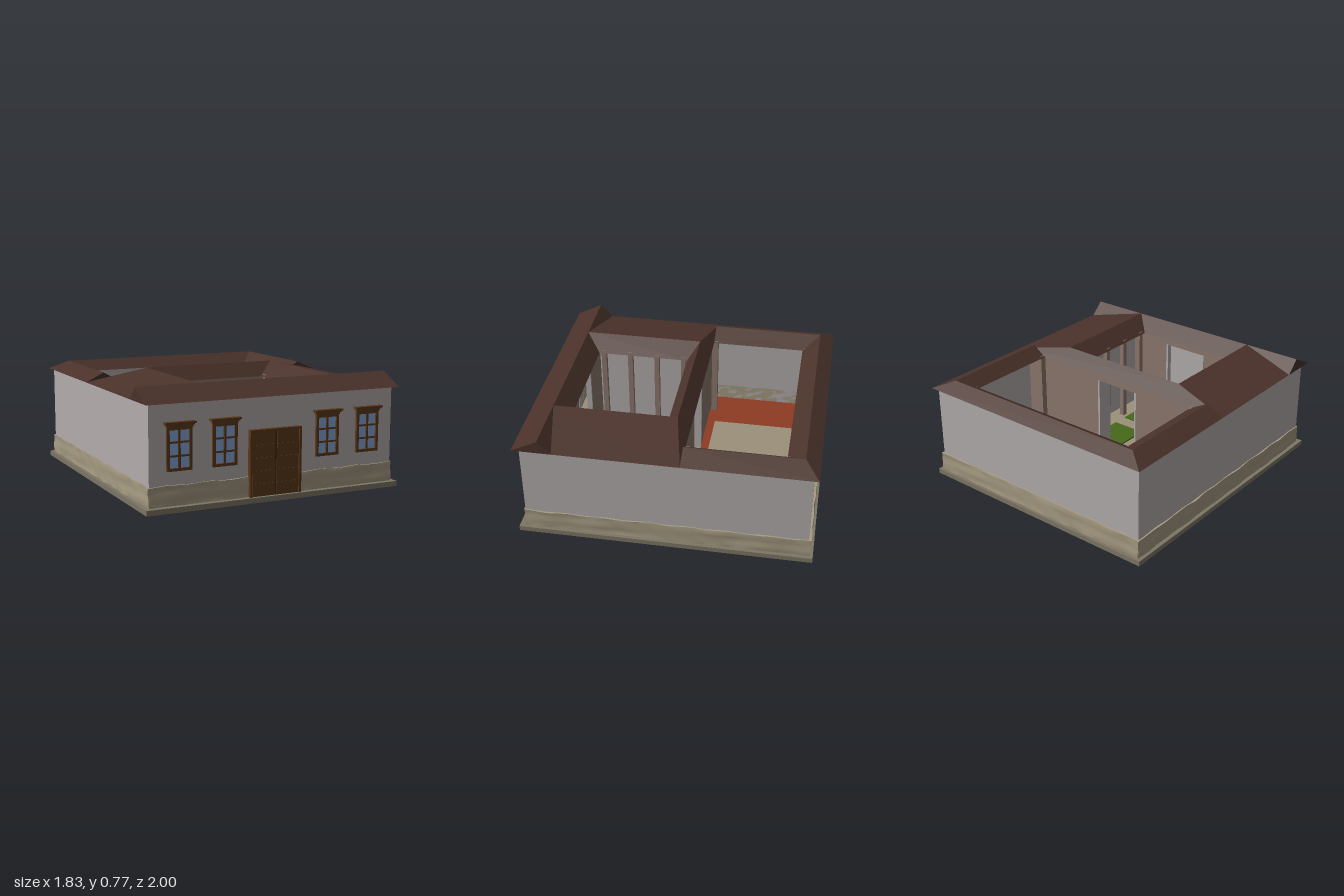
import * as THREE from 'three';

const mat = (color, extra = {}) => new THREE.MeshStandardMaterial({ color, ...extra });
const M = {
  wall: mat(0xb3acac), brownWall: mat(0x8c776c), stone: mat(0xa59a82), slab: mat(0x7d7666),
  roof: mat(0x4a322a, { flatShading: true, side: THREE.DoubleSide }),
  wood: mat(0x5a3818), darkWood: mat(0x442a12), glass: mat(0x86a6d8), paving: mat(0x9c9079),
  tile: mat(0x8e3c24), grass: mat(0x46691a), fountain: mat(0x62666c, { side: THREE.DoubleSide }),
  water: mat(0x3f4a55),
};

// Box given by its low and high limits on each axis
function box(parent, name, material, [x0, x1], [y0, y1], [z0, z1]) {
  const mesh = new THREE.Mesh(new THREE.BoxGeometry(x1 - x0, y1 - y0, z1 - z0), material);
  mesh.position.set((x0 + x1) / 2, (y0 + y1) / 2, (z0 + z1) / 2);
  mesh.name = name;
  parent.add(mesh);
  return mesh;
}

// Flat polygons, each a list of corners, fanned into triangles
function polygons(name, material, faces) {
  const pos = [];
  for (const f of faces)
    for (let i = 1; i < f.length - 1; i++) pos.push(...f[0], ...f[i], ...f[i + 1]);
  const g = new THREE.BufferGeometry();
  g.setAttribute('position', new THREE.Float32BufferAttribute(pos, 3));
  g.computeVertexNormals();
  const mesh = new THREE.Mesh(g, material);
  mesh.name = name;
  return mesh;
}

// Rough stone strip: a box whose outer face and top edge undulate
function stoneStrip(length, seed) {
  const g = new THREE.BoxGeometry(length, 0.13, 0.04, 48, 6, 1);
  const p = g.attributes.position;
  for (let i = 0; i < p.count; i++) {
    const x = p.getX(i), y = p.getY(i);
    const w = Math.sin(x * 17 + seed + 2 * Math.sin(y * 30 + x * 5)) * Math.cos(y * 38 + x * 9 + seed);
    if (p.getZ(i) > 0) p.setZ(i, p.getZ(i) + w * 0.005);
    if (y > 0.06) p.setY(i, y + 0.003 * Math.sin(x * 23 + seed));
  }
  g.computeVertexNormals();
  return new THREE.Mesh(g, M.stone);
}

function plinth() {
  const g = new THREE.Group();
  g.name = 'stonePlinth';
  const sides = [[1.77, 0, 0.945, 0], [1.77, 0, -0.96, Math.PI],
    [1.94, 0.87, -0.01, Math.PI / 2], [1.94, -0.87, -0.01, -Math.PI / 2]];
  sides.forEach(([len, x, z, turn], i) => {
    const s = stoneStrip(len, i * 2.3);
    s.name = 'plinthSide';
    s.position.set(x, 0.1, z);
    s.rotation.y = turn;
    g.add(s);
  });
  return g;
}

// Window of two by three panes under a stepped cornice
function windowUnit(x) {
  const g = new THREE.Group();
  g.name = 'window';
  g.position.set(x, 0, 0.955);
  box(g, 'glass', M.glass, [-0.075, 0.075], [0.265, 0.52], [-0.005, 0.006]);
  for (const s of [-1, 1]) box(g, 'frameSide', M.wood, [s * 0.076 - 0.009, s * 0.076 + 0.009], [0.255, 0.525], [0, 0.018]);
  for (const y of [0.264, 0.52]) box(g, 'frameRail', M.wood, [-0.085, 0.085], [y - 0.009, y + 0.009], [0, 0.018]);
  box(g, 'mullion', M.wood, [-0.007, 0.007], [0.26, 0.52], [0, 0.014]);
  for (const y of [0.348, 0.434]) box(g, 'glazingBar', M.wood, [-0.075, 0.075], [y - 0.006, y + 0.006], [0, 0.012]);
  [[0.088, 0.525, 0.54, 0.022], [0.096, 0.54, 0.55, 0.03], [0.104, 0.55, 0.562, 0.038]].forEach(([w, a, b, d]) =>
    box(g, 'cornice', M.wood, [-w, w], [a, b], [0, d]));
  return g;
}

// Double entrance door with boarded leaves
function entrance() {
  const g = new THREE.Group();
  g.name = 'entranceDoor';
  g.position.set(-0.015, 0, 0.95);
  box(g, 'doorBack', M.darkWood, [-0.18, 0.18], [0.035, 0.46], [0, 0.028]);
  for (const s of [-1, 1]) {
    box(g, 'doorPost', M.wood, [s * 0.178 - 0.008, s * 0.178 + 0.008], [0.035, 0.47], [0, 0.038]);
    for (let i = 0; i < 5; i++)
      box(g, 'board', M.wood, [s * 0.087 - 0.079, s * 0.087 + 0.079], [0.037 + i * 0.084, 0.119 + i * 0.084], [0, 0.033]);
  }
  box(g, 'doorHead', M.wood, [-0.186, 0.186], [0.456, 0.47], [0, 0.038]);
  return g;
}

// Cross wall with a central passage opening
function crossWall(name, z) {
  const g = new THREE.Group();
  g.name = name;
  box(g, 'wallLeft', M.brownWall, [0.17, 0.86], [0.035, 0.67], z);
  box(g, 'wallRight', M.brownWall, [-0.86, -0.17], [0.035, 0.67], z);
  box(g, 'lintel', M.brownWall, [-0.17, 0.17], [0.62, 0.67], z);
  for (const s of [-1, 1])
    box(g, 'jamb', M.wall, [s * 0.165 - 0.008, s * 0.165 + 0.008], [0.035, 0.62], [z[0] - 0.004, z[1] + 0.004]);
  return g;
}

// Roof round the front court: gabled front wing, side wings and middle wing
function frontRoof() {
  const E = 0.68, H = 0.77, I = 0.67;
  const f = [
    [[-0.91, E, 1], [0.91, E, 1], [0.91, H, 0.82], [-0.91, H, 0.82]],
    [[-0.49, H, 0.82], [0.49, H, 0.82], [0.37, I, 0.71], [-0.37, I, 0.71]],
    [[-0.37, I, 0.05], [0.37, I, 0.05], [0.49, H, -0.03], [-0.49, H, -0.03]],
    [[0.91, E, -0.115], [-0.91, E, -0.115], [-0.49, H, -0.03], [0.49, H, -0.03]],
  ];
  for (const s of [-1, 1]) f.push(
    [[s * 0.91, H, 0.82], [s * 0.49, H, 0.82], [s * 0.91, E, 0.73]],
    [[s * 0.91, E, 1], [s * 0.91, E, 0.73], [s * 0.91, H, 0.82]],
    [[s * 0.49, H, 0.82], [s * 0.91, E, 0.73], [s * 0.91, E, -0.115], [s * 0.49, H, -0.03]],
    [[s * 0.49, H, 0.82], [s * 0.49, H, -0.03], [s * 0.37, I, 0.05], [s * 0.37, I, 0.71]]);
  return polygons('frontRoof', M.roof, f);
}

// Lower U-shaped roof round the back court
function backRoof() {
  const E = 0.68, H = 0.742, I = 0.67, z = -0.112;
  const rx = { '-1': -0.78, 1: 0.77 }, ix = { '-1': -0.65, 1: 0.67 };
  const f = [
    [[0.91, E, -1], [-0.91, E, -1], [rx[-1], H, -0.9], [rx[1], H, -0.9]],
    [[rx[-1], H, -0.9], [rx[1], H, -0.9], [ix[1], I, -0.78], [ix[-1], I, -0.78]],
  ];
  for (const s of [-1, 1]) f.push(
    [[s * 0.91, E, -1], [s * 0.91, E, z], [rx[s], H, z], [rx[s], H, -0.9]],
    [[rx[s], H, -0.9], [rx[s], H, z], [ix[s], I, z], [ix[s], I, -0.78]],
    [[s * 0.91, E, z], [rx[s], H, z], [ix[s], I, z]]);
  return polygons('backRoof', M.roof, f);
}

function fountain() {
  const g = new THREE.Group();
  g.name = 'fountain';
  g.position.set(0, 0.045, 0.385);
  const profile = [[0.085, 0], [0.085, 0.045], [0.068, 0.045], [0.066, 0.02], [0.02, 0.02], [0.013, 0.05],
    [0.014, 0.085], [0.038, 0.105], [0.038, 0.112], [0.02, 0.1], [0, 0.1]].map(([x, y]) => new THREE.Vector2(x, y));
  const basin = new THREE.Mesh(new THREE.LatheGeometry(profile, 32), M.fountain);
  basin.name = 'basin';
  const water = new THREE.Mesh(new THREE.CylinderGeometry(0.067, 0.067, 0.006, 32), M.water);
  water.name = 'water';
  water.position.y = 0.03;
  g.add(basin, water);
  return g;
}

export function createModel() {
  const house = new THREE.Group();
  house.name = 'courtyardHouse';

  // Base and outer walls
  box(house, 'baseSlab', M.slab, [-0.915, 0.915], [0, 0.035], [-1, 1]);
  house.add(plinth());
  box(house, 'frontWall', M.wall, [-0.88, 0.88], [0.035, 0.69], [0.925, 0.955]);
  box(house, 'backWall', M.wall, [-0.88, 0.88], [0.035, 0.68], [-0.965, -0.935]);
  for (const s of [-1, 1])
    box(house, 'sideWall', M.wall, [s * 0.865 - 0.015, s * 0.865 + 0.015], [0.035, 0.685], [-0.965, 0.955]);

  // Facade
  for (const x of [-0.68, -0.37, 0.375, 0.685]) house.add(windowUnit(x));
  house.add(entrance());

  // Front court: paving, lawns, fountain, side walls and posts
  box(house, 'frontPaving', M.paving, [-0.85, 0.85], [0.03, 0.045], [-0.1, 0.925]);
  for (const x of [[-0.345, -0.095], [0.095, 0.345]])
    for (const z of [[0.07, 0.32], [0.435, 0.69]]) box(house, 'lawn', M.grass, x, [0.04, 0.055], z);
  house.add(fountain(), crossWall('middleWall', [-0.09, 0.02]), crossWall('frontWingWall', [0.735, 0.765]));
  for (const s of [-1, 1]) {
    box(house, 'courtWall', M.wall, [s * 0.5 - 0.015, s * 0.5 + 0.015], [0.035, 0.69], [0.02, 0.735]);
    for (const z of [0.08, 0.28, 0.48, 0.68])
      box(house, 'courtPost', M.brownWall, [s * 0.4 - 0.018, s * 0.4 + 0.018], [0.035, 0.685], [z - 0.018, z + 0.018]);
  }

  // Back court: tiled floor, paved centre and corner posts
  box(house, 'tileFloor', M.tile, [-0.85, 0.85], [0.03, 0.05], [-0.935, -0.09]);
  box(house, 'backPaving', M.paving, [-0.5, 0.53], [0.04, 0.055], [-0.78, -0.15]);
  for (const x of [-0.68, 0.7])
    for (const z of [-0.81, -0.12])
      box(house, 'backPost', M.brownWall, [x - 0.022, x + 0.022], [0.035, 0.68], [z - 0.022, z + 0.022]);

  house.add(frontRoof(), backRoof());
  return house;
}
